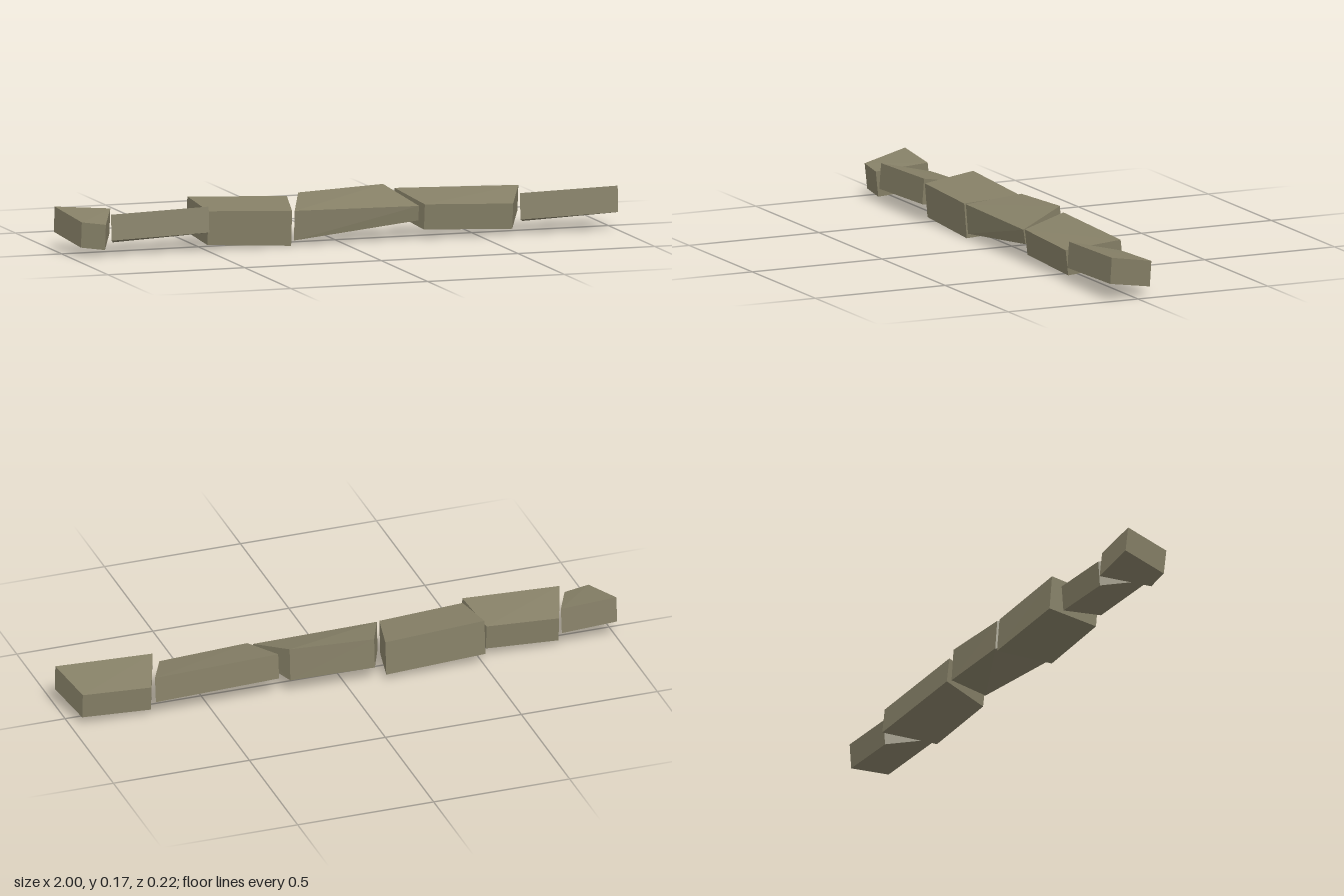
import * as THREE from 'three';

const stone = new THREE.MeshStandardMaterial({ color: 0x857f66 });
stone.name = 'weatheredStone';

// One end of a block: front edge (x, z, bottom y, height), back edge likewise.
// lean slides the bottom corners in z, because each block is rolled about x.
function endCorners([front, back], lean) {
  const [fx, fz, fy, fh] = front;
  const [bx, bz, by, bh] = back;
  return [
    new THREE.Vector3(fx, fy, fz + lean),
    new THREE.Vector3(fx, fy + fh, fz),
    new THREE.Vector3(bx, by + bh, bz),
    new THREE.Vector3(bx, by, bz + lean),
  ];
}

// Skewed six-sided block joining a low-x end to a high-x end
function makeBlock({ name, lean, low, high }) {
  const a = endCorners(low, lean);
  const b = endCorners(high, lean);
  const points = [];
  const quad = (p, q, r, s) => points.push(p, q, r, p, r, s);
  for (let i = 0; i < 4; i++) {
    const j = (i + 1) % 4;
    quad(a[i], b[i], b[j], a[j]);
  }
  quad(a[0], a[1], a[2], a[3]);
  quad(b[3], b[2], b[1], b[0]);
  const geometry = new THREE.BufferGeometry().setFromPoints(points);
  geometry.computeVertexNormals();
  const mesh = new THREE.Mesh(geometry, stone);
  mesh.name = name;
  return mesh;
}

// Blocks from the -x end to the +x end of the row
const blocks = [
  {
    name: 'rightEndBlock', lean: -0.01,
    low: [[-0.96, 0.1, 0.035, 0.09], [-1.0, -0.075, 0.067, 0.09]],
    high: [[-0.872, 0.1, 0.022, 0.09], [-0.8, -0.065, 0.052, 0.09]],
  },
  {
    name: 'rightOuterBlock', lean: 0.007,
    low: [[-0.85, 0.09, 0.055, 0.09], [-0.79, -0.075, 0.022, 0.09]],
    high: [[-0.495, 0.097, 0.067, 0.09], [-0.525, -0.07, 0.035, 0.09]],
  },
  {
    name: 'rightInnerBlock', lean: -0.01,
    low: [[-0.495, 0.094, 0.02, 0.12], [-0.507, -0.098, 0.04, 0.125]],
    high: [[-0.188, 0.092, 0.002, 0.124], [-0.142, -0.1, 0.025, 0.122]],
  },
  {
    name: 'middleWedgeBlock', lean: -0.008,
    low: [[-0.178, 0.09, 0.02, 0.105], [-0.105, -0.088, 0.053, 0.107]],
    high: [[0.277, 0.09, 0.068, 0.052], [0.205, -0.086, 0.057, 0.118]],
  },
  {
    name: 'leftInnerBlock', lean: -0.01,
    low: [[0.297, 0.094, 0.035, 0.09], [0.245, -0.08, 0.07, 0.09]],
    high: [[0.62, 0.094, 0.022, 0.09], [0.698, -0.08, 0.058, 0.09]],
  },
  {
    name: 'leftEndBlock', lean: 0.006,
    low: [[0.645, 0.093, 0.055, 0.092], [0.71, -0.078, 0.022, 0.09]],
    high: [[1.0, 0.101, 0.065, 0.092], [0.96, -0.071, 0.033, 0.09]],
  },
];

export function createModel() {
  const group = new THREE.Group();
  group.name = 'rowOfStoneBlocks';
  for (const block of blocks) group.add(makeBlock(block));
  return group;
}
